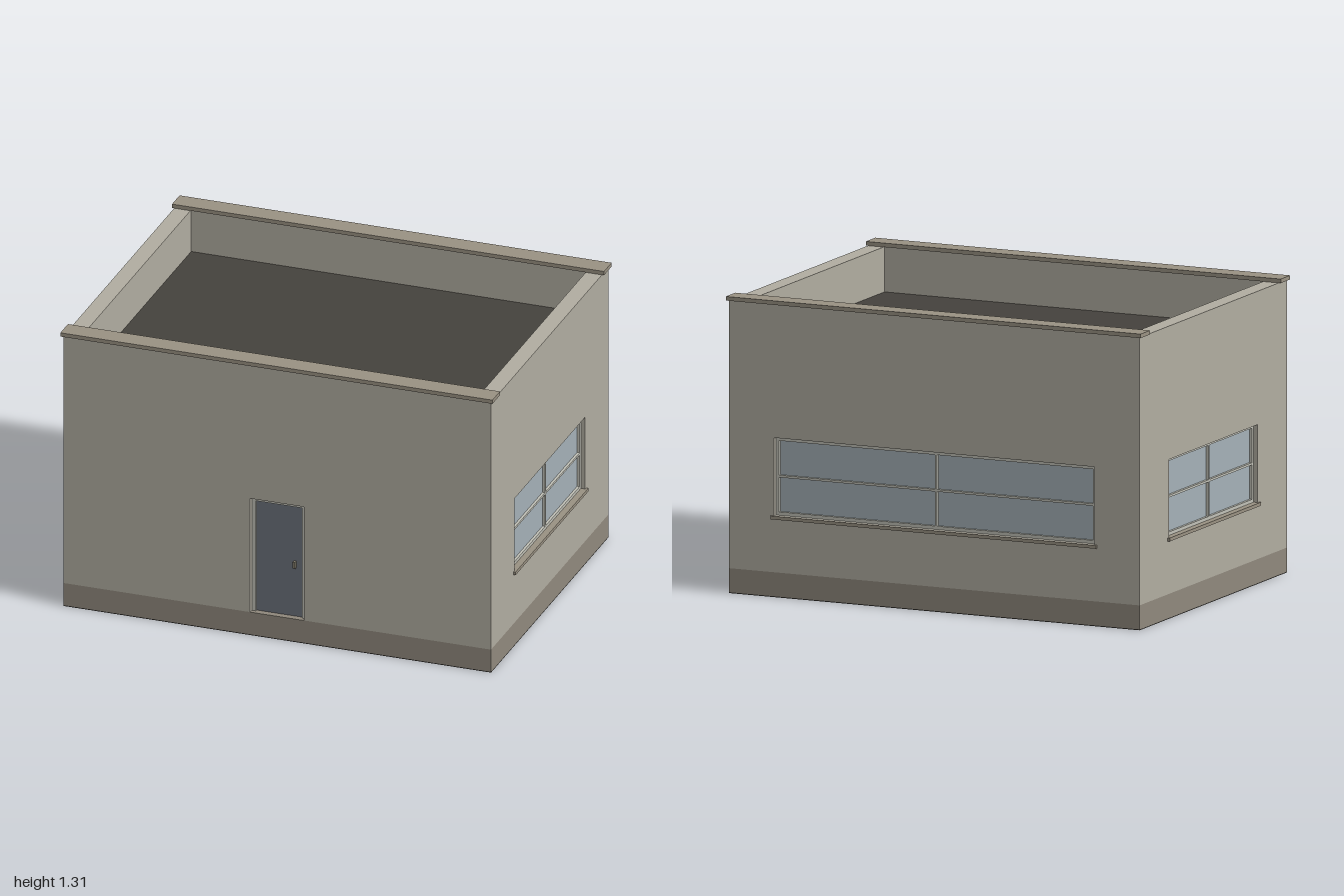
import * as THREE from 'three';

const T = 0.075;              // wall thickness
const HX = 0.99, HZ = 0.74;   // half size of the building
const BASE = 0.11, TOP = 1.295, ROOF = 1.095;

const mat = (color) => new THREE.MeshStandardMaterial({ color });
const M = {
  wall: mat(0xb1ada1), plinth: mat(0x90897d), trim: mat(0x9a9283), roof: mat(0x45423d),
  frame: mat(0xc2c2b8), glass: mat(0xa5b1b8), door: mat(0x6b707a), handle: mat(0x7d7768),
};

// Box given by its extents on each axis
function box(name, material, [x0, x1], [y0, y1], [z0, z1]) {
  const mesh = new THREE.Mesh(new THREE.BoxGeometry(x1 - x0, y1 - y0, z1 - z0), material);
  mesh.position.set((x0 + x1) / 2, (y0 + y1) / 2, (z0 + z1) / 2);
  mesh.name = name;
  return mesh;
}

const polygon = (pts, Type = THREE.Shape) => new Type(pts.map(([x, y]) => new THREE.Vector2(x, y)));
const rect = (x0, x1, y0, y1, Type) => polygon([[x0, y0], [x1, y0], [x1, y1], [x0, y1]], Type);

// Flat shape extruded backwards from z = front
function slab(name, material, shape, front, depth) {
  const geo = new THREE.ExtrudeGeometry(shape, { depth, bevelEnabled: false });
  geo.translate(0, 0, front - depth);
  const mesh = new THREE.Mesh(geo, material);
  mesh.name = name;
  return mesh;
}

// Wall with a recessed four-pane window; outer face at z = 0
function windowWall(name, halfWall, halfWin) {
  const g = new THREE.Group();
  g.name = name;
  const y0 = 0.36, y1 = 0.705, border = 0.015, bar = 0.005, mid = (y0 + y1) / 2;

  const wall = rect(-halfWall, halfWall, BASE, TOP);
  wall.holes.push(rect(-halfWin, halfWin, y0, y1, THREE.Path));
  g.add(slab('wall', M.wall, wall, 0, T));

  const frame = rect(-halfWin, halfWin, y0, y1);
  for (const [a, b] of [[-halfWin + border, -bar], [bar, halfWin - border]])
    for (const [c, d] of [[y0 + border, mid - bar], [mid + bar, y1 - border]])
      frame.holes.push(rect(a, b, c, d, THREE.Path));
  g.add(slab('windowFrame', M.frame, frame, -0.02, 0.03));
  g.add(box('windowGlass', M.glass, [-halfWin, halfWin], [y0, y1], [-0.04, -0.032]));
  g.add(box('windowSill', M.trim, [-halfWin - 0.013, halfWin + 0.013], [y0 - 0.015, y0], [-0.03, 0.01]));
  return g;
}

// Wall with a recessed door; outer face at z = 0
function doorWall() {
  const g = new THREE.Group();
  g.name = 'frontWall';
  const w = 0.125, h = 0.655, wi = 0.107, hi = 0.638;
  const arch = (a, b, c, d) => polygon([[-a, BASE], [-c, BASE], [-c, d], [c, d], [c, BASE], [a, BASE], [a, b], [-a, b]]);
  g.add(slab('wall', M.wall, arch(HX, TOP, w, h), 0, T));
  g.add(slab('doorFrame', M.frame, arch(w, h, wi, hi), -0.02, 0.04));
  g.add(box('doorLeaf', M.door, [-wi, wi], [BASE, hi], [-0.055, -0.03]));
  g.add(box('doorHandle', M.handle, [0.067, 0.079], [0.345, 0.375], [-0.03, -0.012]));
  return g;
}

export function createModel() {
  const model = new THREE.Group();
  model.name = 'building';

  // Floor and plinth
  model.add(box('floorSlab', M.roof, [-HX, HX], [0, 0.004], [-HZ, HZ]));
  model.add(box('plinth', M.plinth, [-HX, HX], [0.004, BASE], [-HZ, HZ]));

  // Front and back walls run full width
  const front = doorWall();
  front.position.z = HZ;
  const back = windowWall('backWall', HX, 0.772);
  back.position.z = -HZ;
  back.rotation.y = Math.PI;
  model.add(front, back);

  // Side walls fit between them
  for (const s of [1, -1]) {
    const side = windowWall(s > 0 ? 'leftWall' : 'rightWall', HZ - T, 0.445);
    side.position.x = s * HX;
    side.rotation.y = s * Math.PI / 2;
    model.add(side);
  }

  // Sunken flat roof and the two parapet copings
  model.add(box('roof', M.roof, [-HX + T, HX - T], [ROOF - 0.04, ROOF], [-HZ + T, HZ - T]));
  model.add(box('frontCoping', M.trim, [-1, 1], [TOP, 1.313], [0.655, 0.75]));
  model.add(box('backCoping', M.trim, [-1, 1], [TOP, 1.313], [-0.75, -0.655]));
  return model;
}
